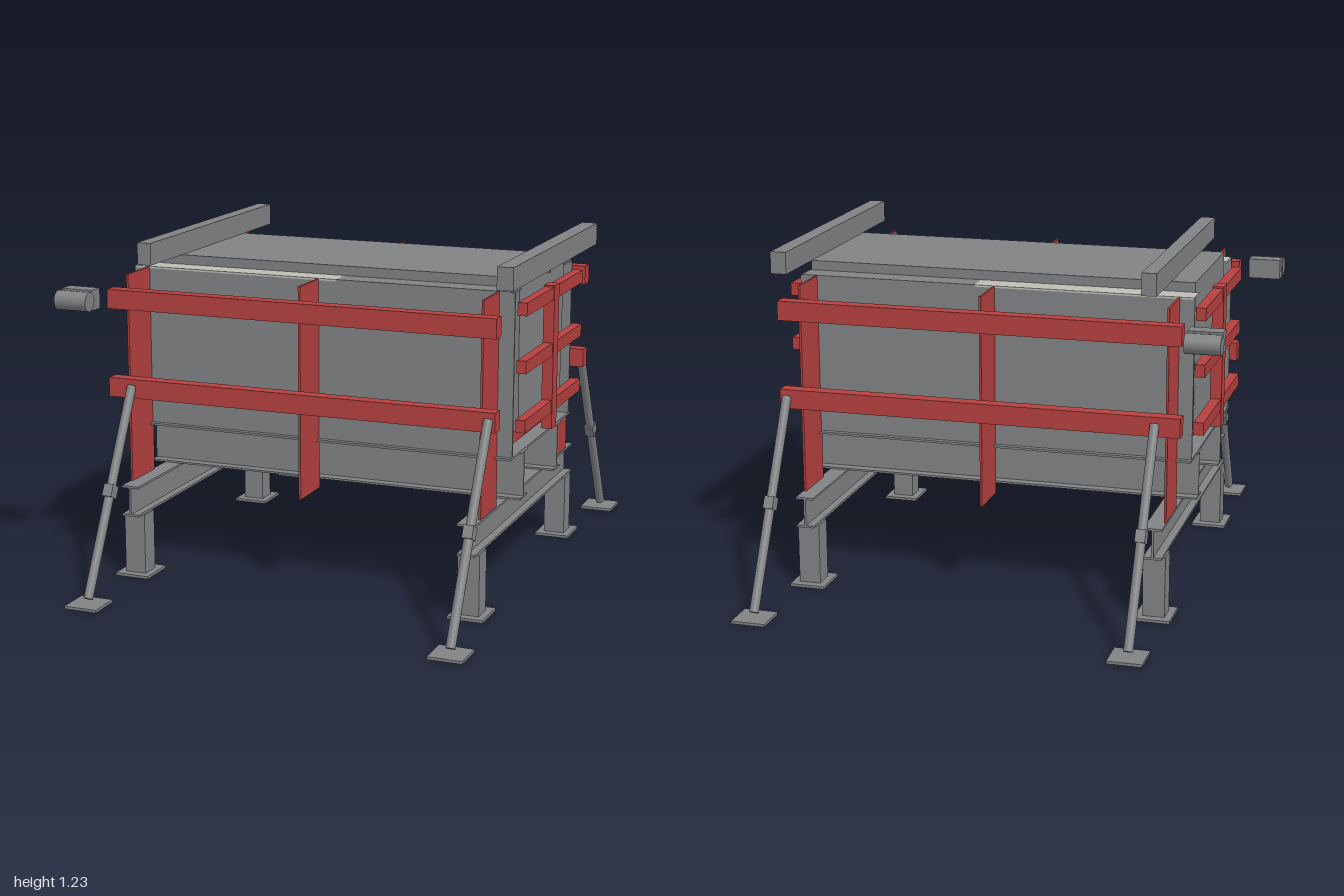
import * as THREE from 'three';

const steel = new THREE.MeshStandardMaterial({ color: 0x808284 });
steel.name = 'steelGrey';
const red = new THREE.MeshStandardMaterial({ color: 0xb54040 });
red.name = 'frameRed';
const pale = new THREE.MeshStandardMaterial({ color: 0xbebeb6 });
pale.name = 'paleCover';

export function createModel() {
  const model = new THREE.Group();
  model.name = 'framedTank';

  const add = (name, geometry, material) => {
    const mesh = new THREE.Mesh(geometry, material);
    mesh.name = name;
    model.add(mesh);
    return mesh;
  };
  // Box given by its limits on each axis
  const box = (name, mat, x0, x1, y0, y1, z0, z1) =>
    add(name, new THREE.BoxGeometry(x1 - x0, y1 - y0, z1 - z0), mat)
      .position.set((x0 + x1) / 2, (y0 + y1) / 2, (z0 + z1) / 2);
  // The same box on both sides of the z = 0 plane
  const pair = (name, mat, x0, x1, y0, y1, z0, z1) => {
    box(name, mat, x0, x1, y0, y1, z0, z1);
    box(name, mat, x0, x1, y0, y1, -z1, -z0);
  };

  // Inner tank, narrowing slightly towards its floor
  const section = new THREE.Shape([
    new THREE.Vector2(-0.26, 0.6), new THREE.Vector2(0.26, 0.6),
    new THREE.Vector2(0.275, 1.15), new THREE.Vector2(-0.275, 1.15),
  ]);
  const tank = new THREE.ExtrudeGeometry(section, { depth: 1.43, bevelEnabled: false });
  tank.rotateY(Math.PI / 2);
  add('innerTank', tank, steel).position.x = -0.66;

  // Outer casing: side walls, base plate and ledge covers
  pair('sideWall', steel, -0.675, 0.78, 0.53, 1.11, 0.35, 0.358);
  box('basePlate', steel, -0.675, 0.78, 0.522, 0.53, -0.378, 0.378);
  pair('ledgeCover', steel, 0.12, 0.775, 1.108, 1.115, 0.272, 0.36);
  pair('paleLedgeCover', pale, -0.672, 0.12, 1.108, 1.115, 0.272, 0.36);

  // Red frame plates, notched below for the base beams
  const plateShape = new THREE.Shape([
    [-0.528, 0.345], [-0.352, 0.345], [-0.352, 0.53], [0.352, 0.53],
    [0.352, 0.345], [0.528, 0.345], [0.528, 1.113], [-0.528, 1.113],
  ].map(([z, y]) => new THREE.Vector2(z, y)));
  // Cut out the part of the plate that lies under the tank lid
  plateShape.holes.push(new THREE.Path([
    [-0.255, 0.61], [-0.255, 1.1], [0.255, 1.1], [0.255, 0.61],
  ].map(([z, y]) => new THREE.Vector2(z, y))));
  const plate = new THREE.ExtrudeGeometry(plateShape, { depth: 0.008, bevelEnabled: false });
  plate.rotateY(Math.PI / 2);
  for (const x of [-0.622, 0.046, 0.716]) add('framePlate', plate, red).position.x = x;

  // Long red rails
  for (const y of [0.67, 0.993]) pair('sideRail', red, -0.675, 0.785, y, y + 0.07, 0.525, 0.577);

  // Red grates at both ends
  for (const [inner, outer] of [[0.785, 0.825], [-0.675, -0.717]]) {
    const a = Math.min(inner, outer), b = Math.max(inner, outer);
    for (const y of [0.62, 0.83, 1.033]) {
      box('grateBar', red, a + 0.003, b - 0.003, y, y + 0.046, -0.352, 0.352);
    }
    box('grateUpright', red, a, b, 0.56, 1.085, -0.03, 0.03);
  }

  // Cross bars on top
  box('topCrossBar', steel, -0.575, -0.522, 1.15, 1.23, -0.528, 0.528);
  box('topCrossBar', steel, 0.767, 0.825, 1.15, 1.23, -0.528, 0.528);
  box('topPeg', steel, 0.79, 0.8, 1.125, 1.15, -0.006, 0.006);

  // Lengthwise I-beams under the base plate
  pair('longBeamWeb', steel, -0.675, 0.78, 0.35, 0.522, 0.207, 0.213);
  for (const y of [0.347, 0.516]) pair('longBeamFlange', steel, -0.675, 0.78, y, y + 0.007, 0.17, 0.25);

  // Crosswise I-beams on legs with foot plates
  for (const x of [-0.59, 0.695]) {
    box('crossBeamWeb', steel, x - 0.004, x + 0.004, 0.235, 0.345, -0.6, 0.6);
    for (const y of [0.232, 0.338]) {
      box('crossBeamFlange', steel, x - 0.033, x + 0.033, y, y + 0.008, -0.6, 0.6);
    }
    pair('leg', steel, x - 0.04, x + 0.04, 0.01, 0.232, 0.49, 0.567);
    pair('legFoot', steel, x - 0.065, x + 0.065, 0, 0.01, 0.455, 0.6);
  }

  // Sloping props with a coupling and a foot
  const strutLength = Math.hypot(0.365, 0.69);
  const strut = new THREE.CylinderGeometry(0.017, 0.017, strutLength, 16);
  const coupling = new THREE.BoxGeometry(0.036, 0.045, 0.045);
  for (const x of [-0.585, 0.76]) {
    for (const s of [1, -1]) {
      const tilt = -s * Math.atan2(0.365, 0.69);
      const prop = add('prop', strut, steel);
      prop.position.set(x, 0.37, s * 0.757);
      prop.rotation.x = tilt;
      const joint = add('propCoupling', coupling, steel);
      joint.position.copy(prop.position);
      joint.rotation.x = tilt;
    }
    pair('propFoot', steel, x - 0.062, x + 0.062, 0, 0.01, 0.875, 1);
  }

  // Motors beside the upper rails
  const motor = new THREE.CylinderGeometry(0.035, 0.035, 0.125, 24);
  motor.rotateZ(Math.PI / 2);
  pair('motorMount', steel, -0.825, -0.705, 0.992, 1.066, 0.575, 0.635);
  for (const s of [1, -1]) add('motor', motor, steel).position.set(-0.765, 1.028, s * 0.656);

  return model;
}
